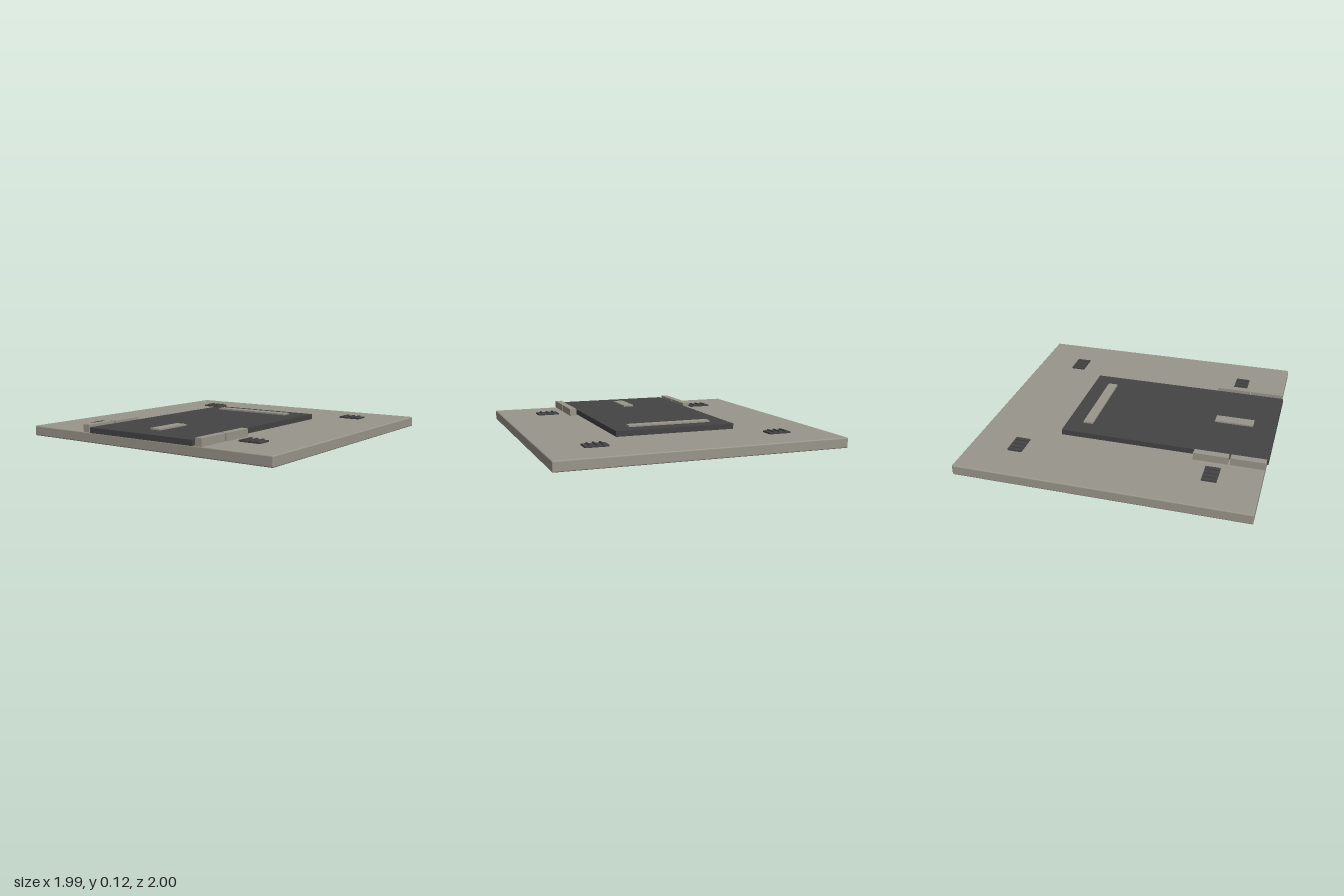
import * as THREE from 'three';
import { RoundedBoxGeometry } from 'three/addons/geometries/RoundedBoxGeometry.js';

export function createModel() {
  const model = new THREE.Group();
  model.name = 'landingPad';

  const stone = new THREE.MeshStandardMaterial({ color: 0x99968b });
  stone.name = 'warm grey';
  const dark = new THREE.MeshStandardMaterial({ color: 0x444444 });
  dark.name = 'dark grey';

  // Box given by its centre in x and z, its size, and its bottom and top heights
  function block(name, parent, material, x, z, width, depth, bottom, top) {
    const mesh = new THREE.Mesh(new THREE.BoxGeometry(width, top - bottom, depth), material);
    mesh.name = name;
    mesh.position.set(x, (bottom + top) / 2, z);
    parent.add(mesh);
    return mesh;
  }

  // Base slab with softened edges
  const slabTop = 0.07;
  const slabZ = -0.0075;
  const slab = new THREE.Mesh(new RoundedBoxGeometry(1.985, slabTop, 1.985, 2, 0.008), stone);
  slab.name = 'baseSlab';
  slab.position.set(0, slabTop / 2, slabZ);
  model.add(slab);

  // Raised walkway, slightly past the front edge, with two inlaid bars
  const deckTop = 0.108;
  block('walkway', model, dark, 0, 0.28, 0.86, 1.44, slabTop, deckTop);
  block('crossBar', model, stone, 0, -0.29, 0.6, 0.07, deckTop, 0.119);
  block('centreBar', model, stone, 0, 0.705, 0.08, 0.27, deckTop, 0.119);

  for (const side of [-1, 1]) {
    // Two kerb stones on each side of the walkway
    for (const z of [0.625, 0.873]) {
      block('kerb', model, stone, side * 0.4725, z, 0.05, 0.235, slabTop, 0.122);
    }
    // Ribbed vents near the corners
    for (const end of [-1, 1]) {
      const vent = new THREE.Group();
      vent.name = 'vent';
      vent.position.set(side * 0.643, 0, slabZ + end * 0.665);
      block('ventPlate', vent, dark, 0, 0, 0.158, 0.1, slabTop, 0.081);
      for (const x of [-0.045, 0, 0.045]) {
        block('ventRib', vent, dark, x, 0, 0.012, 0.085, 0.081, 0.089);
      }
      model.add(vent);
    }
  }
  return model;
}
